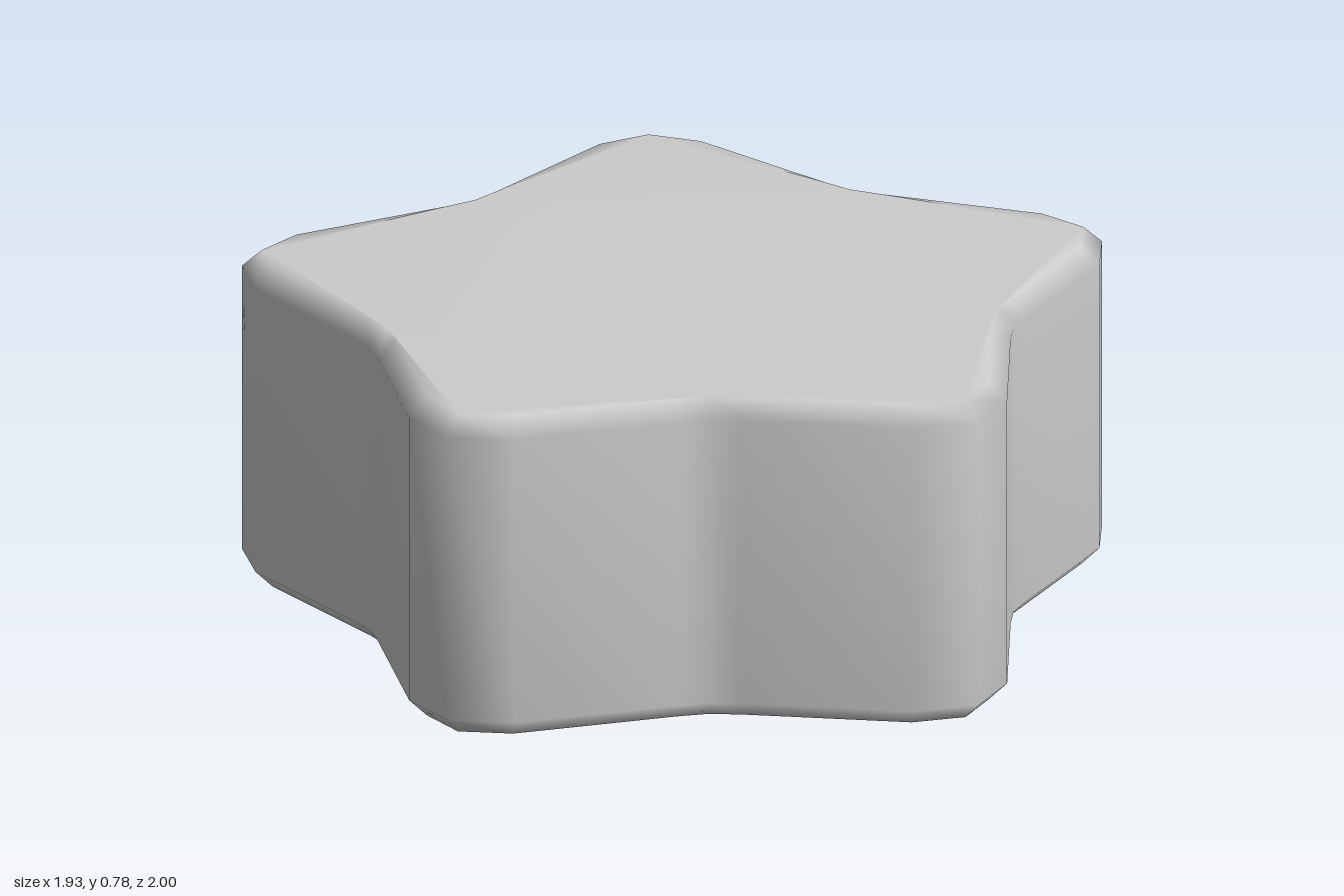
import * as THREE from 'three';
import { mergeVertices } from 'three/addons/utils/BufferGeometryUtils.js';

const HEIGHT = 0.785;
const BEVEL = 0.043;
const CENTRE_X = 0.085;

// One arm of the outline: [angle from the tip in degrees, radius]
const ARM = [
  [-8.3, 0.995],
  [0, 1.051],
  [8.3, 0.995],
  [31, 0.799],
  [36, 0.786],
  [41, 0.799],
];

function starShape() {
  const points = [];
  for (let i = 0; i < 5; i++) {
    for (const [offset, radius] of ARM) {
      const a = THREE.MathUtils.degToRad(180 + i * 72 + offset);
      points.push(new THREE.Vector2(CENTRE_X + radius * Math.cos(a), radius * Math.sin(a)));
    }
  }
  return new THREE.Shape(points);
}

export function createModel() {
  const group = new THREE.Group();
  group.name = 'star';

  // Thick star block with a chamfered rim at top and bottom
  let geometry = new THREE.ExtrudeGeometry(starShape(), {
    depth: HEIGHT - 2 * BEVEL,
    bevelEnabled: true,
    bevelSegments: 1,
    bevelThickness: BEVEL,
    bevelSize: BEVEL,
    bevelOffset: -BEVEL,
  });
  geometry.rotateX(-Math.PI / 2);
  geometry.translate(0, BEVEL, 0);

  // Weld the corners so the rim shades softly into the flat faces
  geometry.deleteAttribute('uv');
  geometry.deleteAttribute('normal');
  geometry = mergeVertices(geometry, 1e-4);
  geometry.computeVertexNormals();

  const block = new THREE.Mesh(geometry, new THREE.MeshStandardMaterial({ color: 0xcccccc }));
  block.name = 'starBlock';
  group.add(block);
  return group;
}
